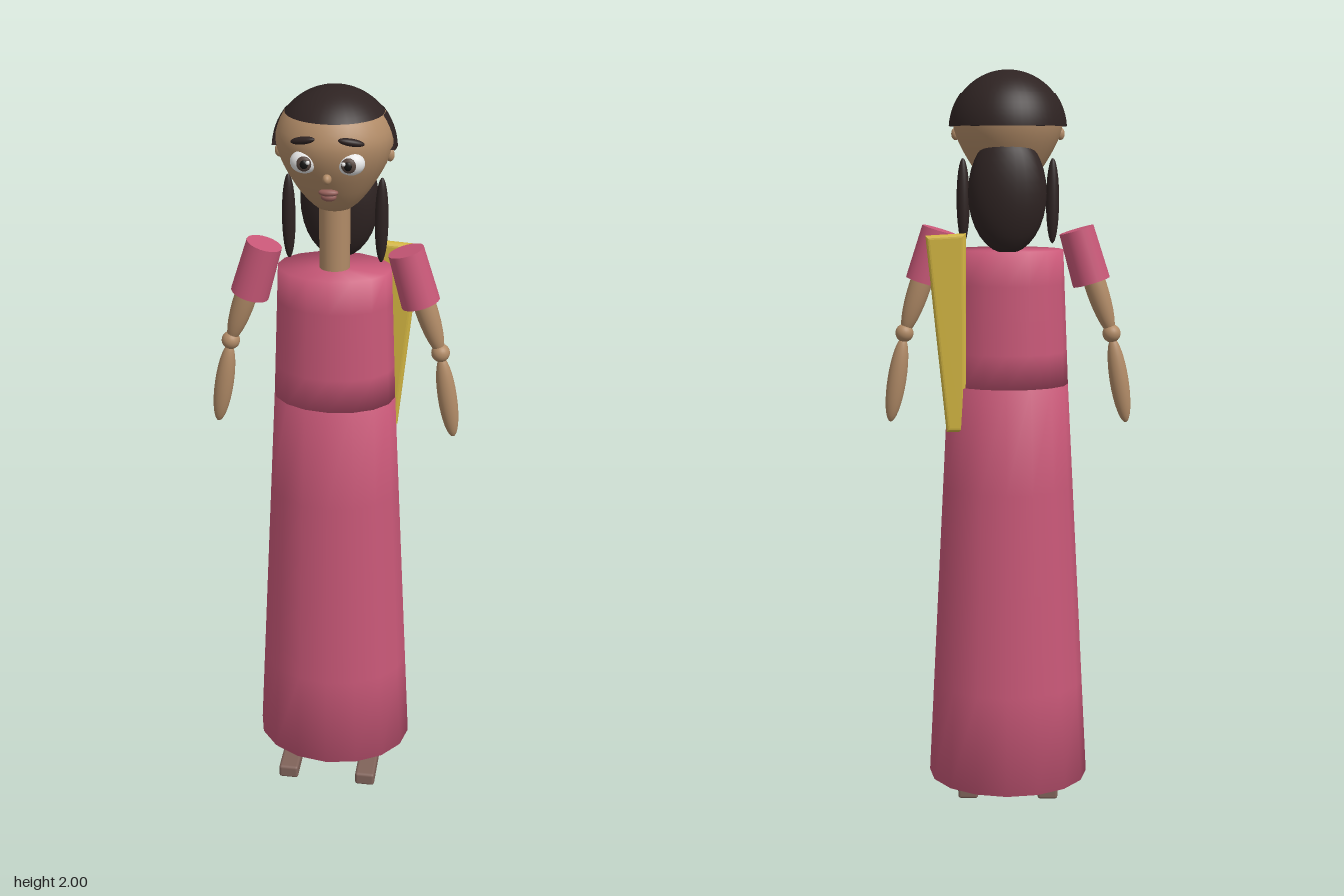
import * as THREE from 'three';
import { mergeVertices } from 'three/addons/utils/BufferGeometryUtils.js';
import { RoundedBoxGeometry } from 'three/addons/geometries/RoundedBoxGeometry.js';

const paint = (name, color, side = THREE.FrontSide) => {
  const m = new THREE.MeshStandardMaterial({ color, side });
  m.name = name;
  return m;
};

export function createModel() {
  const model = new THREE.Group();
  model.name = 'standingWoman';
  const skin = paint('skin', 0xb18b67);
  const hair = paint('hair', 0x2e2322, THREE.DoubleSide);
  const cloth = paint('rose cloth', 0xc95878, THREE.DoubleSide);
  const gold = paint('gold cloth', 0xd2b542);
  const shoe = paint('shoe', 0x80635a);
  const lip = paint('lip', 0x96605a);
  const white = paint('eye white', 0xe6e6e6);
  const iris = paint('iris', 0x57463f);
  const black = paint('pupil', 0x151313);

  const add = (name, geometry, material, x = 0, y = 0, z = 0, parent = model) => {
    const mesh = new THREE.Mesh(geometry, material);
    mesh.name = name;
    mesh.position.set(x, y, z);
    parent.add(mesh);
    return mesh;
  };
  const ball = (name, material, [x, y, z], [rx, ry, rz], parent) => {
    const mesh = add(name, new THREE.SphereGeometry(1, 24, 16), material, x, y, z, parent);
    mesh.scale.set(rx, ry, rz);
    return mesh;
  };
  // Closed elliptical tube whose shading runs softly over the rims
  const softTube = (top, bottom, height, depth) => {
    const g = new THREE.CylinderGeometry(top, bottom, height, 16, 4);
    g.scale(1, 1, depth);
    g.deleteAttribute('normal');
    g.deleteAttribute('uv');
    const soft = mergeVertices(g, 1e-4);
    soft.computeVertexNormals();
    return soft;
  };

  // Dress
  add('skirt', softTube(0.16, 0.22, 1.105, 0.81), cloth, 0, 0.638, 0);
  add('bodice', softTube(0.145, 0.16, 0.355, 0.73), cloth, 0, 1.368, 0);

  // Neck and head
  add('neck', new THREE.CylinderGeometry(0.039, 0.039, 0.24, 20), skin, 0, 1.63, 0);
  const profile = new THREE.SplineCurve([
    [0, 1.695], [0.04, 1.703], [0.075, 1.735], [0.106, 1.78], [0.131, 1.828],
    [0.142, 1.87], [0.138, 1.905], [0.116, 1.945], [0.075, 1.975], [0, 1.992],
  ].map(([r, y]) => new THREE.Vector2(r, y)));
  const points = profile.getPoints(24).map(p => new THREE.Vector2(Math.max(p.x, 0), p.y));
  add('head', new THREE.LatheGeometry(points, 32), skin);

  // Hair: crown, lower back band, tail and side locks
  const fringe = 0.927, rim = 1.51;
  add('hairCrown', new THREE.SphereGeometry(0.15, 32, 10, 0, Math.PI * 2, 0, fringe), hair, 0, 1.85, 0);
  add('hairBack', new THREE.SphereGeometry(0.152, 28, 6, Math.PI - 0.2, Math.PI + 0.4, fringe, rim - fringe),
    hair, 0, 1.85, 0);
  const under = add('hairRim', new THREE.RingGeometry(0.13, 0.152, 28, 1, -0.2, Math.PI + 0.4), hair, 0, 1.859, 0);
  under.rotation.x = -Math.PI / 2;
  ball('hairTail', hair, [0, 1.692, -0.083], [0.1, 0.152, 0.06]);

  // Mouth and nose
  ball('upperLip', lip, [0, 1.772, 0.104], [0.024, 0.009, 0.012]);
  ball('lowerLip', lip, [0, 1.76, 0.099], [0.019, 0.011, 0.013]);
  ball('nose', skin, [0, 1.812, 0.126], [0.011, 0.013, 0.016]);

  for (const side of [1, -1]) {
    const label = side > 0 ? 'left' : 'right';

    // Eye
    const eye = new THREE.Group();
    eye.name = label + 'Eye';
    model.add(eye);
    ball('eyeWhite', white, [side * 0.055, 1.85, 0.118], [0.034, 0.028, 0.024], eye);
    ball('iris', iris, [side * 0.053, 1.85, 0.137], [0.018, 0.018, 0.008], eye);
    ball('pupil', black, [side * 0.052, 1.85, 0.142], [0.01, 0.011, 0.006], eye);
    ball('glint', white, [side * 0.042, 1.856, 0.147], [0.005, 0.005, 0.004], eye);
    const brow = ball(label + 'Brow', hair, [side * 0.057, 1.902, 0.125], [0.032, 0.009, 0.011]);
    brow.rotation.set(0, side * 0.3, side * -0.2);
    ball(label + 'Ear', skin, [side * 0.135, 1.84, 0.005], [0.011, 0.016, 0.01]);
    ball(label + 'Lock', hair, [side * 0.116, 1.67, -0.005], [0.017, 0.109, 0.017]);

    // Sleeve and arm
    const sleeve = add(label + 'Sleeve', new THREE.CylinderGeometry(0.046, 0.05, 0.142, 20),
      cloth, side * 0.199, 1.528, 0);
    sleeve.rotation.z = side * 0.29;
    ball(label + 'UpperArm', skin, [side * 0.231, 1.45, 0], [0.029, 0.135, 0.027]).rotation.z = side * 0.33;
    ball(label + 'Elbow', skin, [side * 0.274, 1.325, 0], [0.024, 0.024, 0.024]);
    ball(label + 'Forearm', skin, [side * 0.296, 1.2, 0], [0.025, 0.116, 0.023]).rotation.z = side * 0.17;

    add(label + 'Shoe', new RoundedBoxGeometry(0.056, 0.04, 0.195, 2, 0.008), shoe, side * 0.112, 0.025, 0.073);
  }

  // Scarf panel hanging behind the left shoulder
  const panel = new THREE.Shape([
    [0.118, 1.085], [0.15, 1.085], [0.198, 1.575], [0.117, 1.58],
  ].map(([x, y]) => new THREE.Vector2(x, y)));
  add('scarf', new THREE.ExtrudeGeometry(panel, {
    depth: 0.006, bevelThickness: 0.011, bevelSize: 0.011, bevelSegments: 4,
  }), gold, 0, 0, -0.079);

  return model;
}
